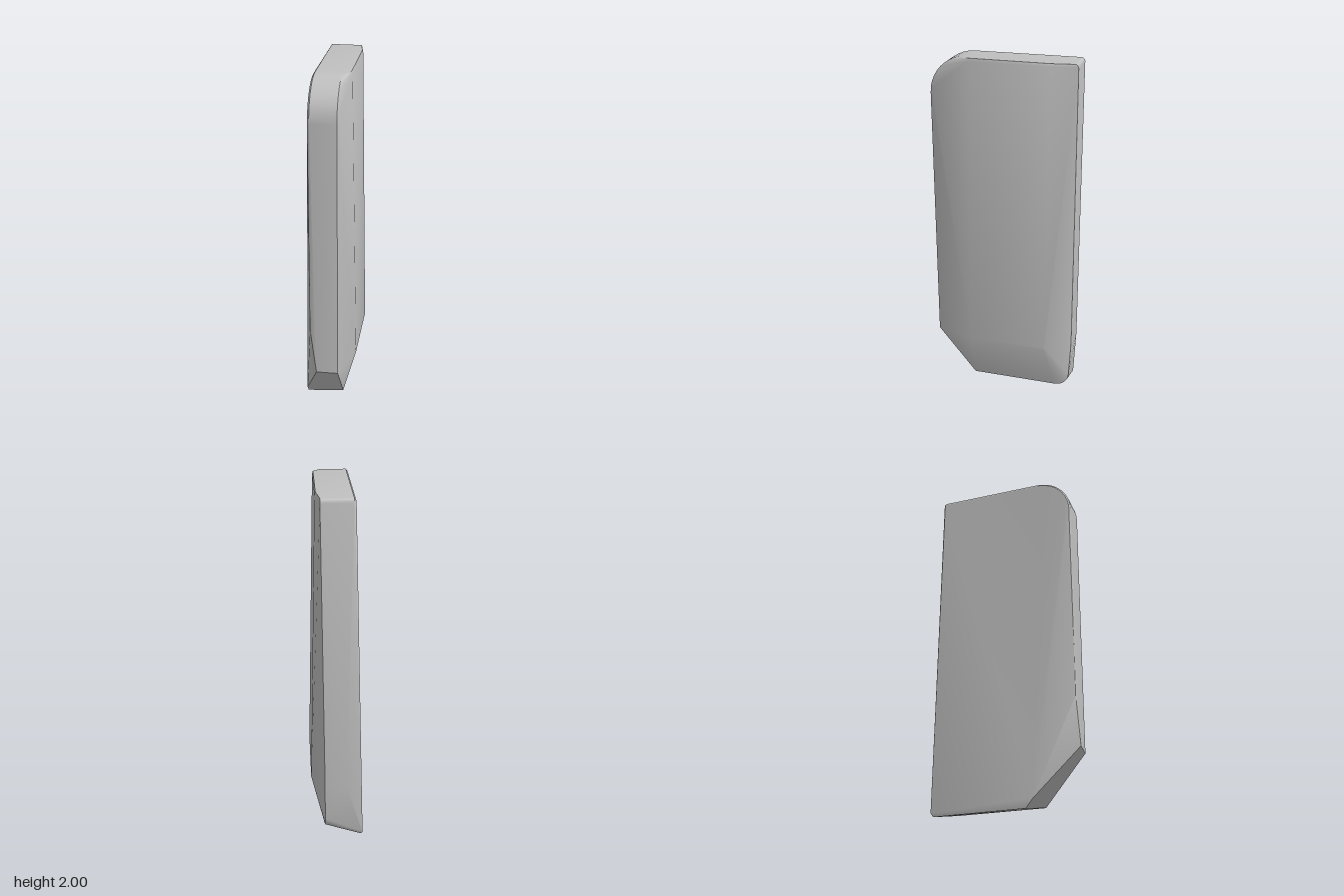
import * as THREE from 'three';
import { ConvexGeometry } from 'three/addons/geometries/ConvexGeometry.js';
import { toCreasedNormals } from 'three/addons/utils/BufferGeometryUtils.js';

export function createModel() {
  const group = new THREE.Group();
  const stone = new THREE.MeshStandardMaterial({ color: 0xbfbfbf });
  stone.name = 'stone grey';

  const points = [];
  const add = (x, y, z) => points.push(new THREE.Vector3(x, y, z));
  // rounded corner in the side plane, running the full width from x0 to x1
  const arc = (x0, x1, cy, cz, r, from, to, steps) => {
    for (let i = 0; i <= steps; i++) {
      const a = from + ((to - from) * i) / steps;
      add(x0, cy + r * Math.sin(a), cz + r * Math.cos(a));
      add(x1, cy + r * Math.sin(a), cz + r * Math.cos(a));
    }
  };

  // rounded top front corner, with a narrow softened rim
  arc(-0.075, 0.065, 1.79, 0.2, 0.21, 0, Math.PI / 2, 10);
  arc(-0.085, 0.07, 1.785, 0.2, 0.203, 0, Math.PI / 2, 10);
  // top back corner
  arc(-0.08, 0.088, 1.98, -0.383, 0.02, Math.PI / 2, Math.PI, 4);
  add(-0.09, 1.985, -0.395);
  // left face: top edge, widest ridge, lower edge
  add(0.106, 2, -0.265);
  add(0.111, 1.985, -0.265);
  add(0.106, 2, 0.18);
  add(0.111, 1.985, 0.18);
  add(0.145, 0.33, -0.265);
  add(0.145, 0.33, 0.18);
  add(0.07, 0.05, 0.18);
  add(0.07, 0.05, -0.32);
  // rounded lower back corner
  for (let i = 1; i <= 4; i++) {
    const a = (i / 4) * Math.PI / 2;
    add(0.07, 0.13 - 0.08 * Math.cos(a), -0.32 - 0.08 * Math.sin(a));
  }
  // back face
  add(0.07, 0.35, -0.41);
  add(-0.05, 0.35, -0.417);
  // front face and its lower edge
  add(-0.085, 0.6, 0.405);
  add(-0.05, 0.33, 0.415);
  add(0.07, 0.325, 0.405);
  // right face down to the foot
  add(-0.147, 0.05, 0.18);
  add(-0.147, 0, 0.14);
  add(-0.14, 0, -0.375);
  add(-0.147, 0.02, -0.387);

  const slab = new THREE.Mesh(toCreasedNormals(new ConvexGeometry(points), 0.5), stone);
  slab.name = 'stoneSlab';
  group.add(slab);
  return group;
}
